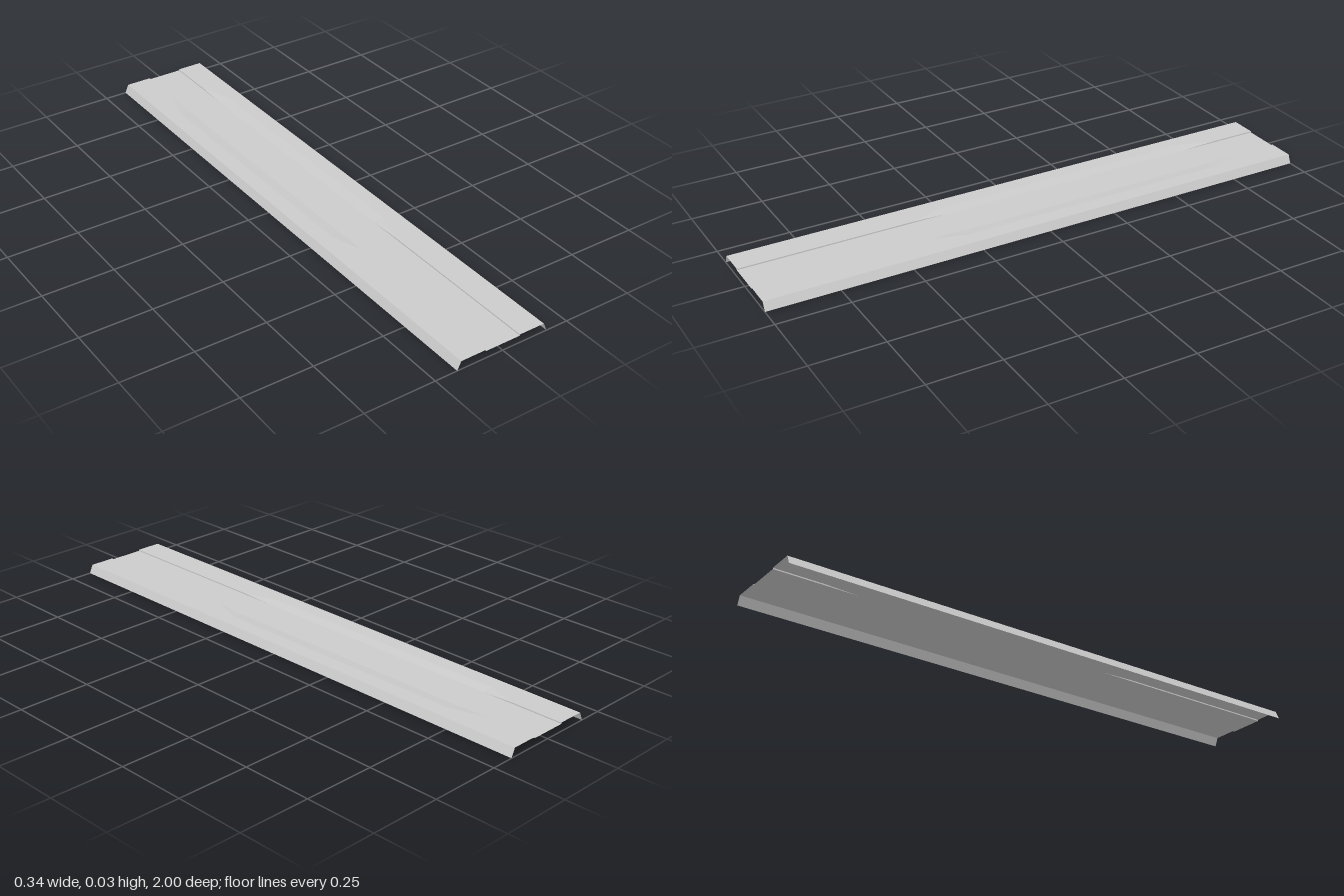
import * as THREE from 'three';

const TOP = 0.03;      // height of the raised side strips
const VALLEY = 0.0256; // height of the sunken centre strip

// Sections along z: [z, height of the inner lip]; the lip sinks flush mid-length
const SECTIONS = [[-1, TOP], [-0.82, TOP], [-0.7, VALLEY], [0.27, VALLEY], [0.39, TOP], [1, TOP]];

// One half of the cross-section from the centre strip out to the flange foot
const half = (lip) => [[0.064, VALLEY], [0.064, lip], [0.103, TOP], [0.157, TOP], [0.17, 0]];

// Sheet between two neighbouring profile points i and i + 1, over all sections
function addStrip(out, rows, i) {
  const tri = (a, b, c) => {
    const t = new THREE.Triangle(a, b, c);
    if (t.getArea() > 1e-9) for (const p of [a, b, c]) out.push(p.x, p.y, p.z);
  };
  for (let s = 0; s < rows.length - 1; s++) {
    const a = rows[s][i], b = rows[s][i + 1], c = rows[s + 1][i + 1], d = rows[s + 1][i];
    // The fold runs from the high lip corner to the far corner of the low end
    const lipIsA = Math.abs(a.x) < Math.abs(b.x);
    const sinks = SECTIONS[s + 1][1] < SECTIONS[s][1];
    if (lipIsA === sinks) { tri(a, d, c); tri(a, c, b); }
    else { tri(a, d, b); tri(b, d, c); }
  }
}

export function createModel() {
  const group = new THREE.Group();
  group.name = 'sheetPanel';
  const material = new THREE.MeshStandardMaterial({
    color: 0xcccccc, flatShading: true, side: THREE.DoubleSide,
  });

  // Full mirrored profile, left edge to right edge, at each section
  const rows = SECTIONS.map(([z, lip]) => {
    const right = half(lip);
    const left = right.map(([x, y]) => [-x, y]).reverse();
    return [...left, ...right].map(([x, y]) => new THREE.Vector3(x, y, z));
  });

  // Named parts by the profile strips they cover
  const parts = {
    rightFlange: [0], rightStrip: [1, 2], rightStep: [3], centreStrip: [4],
    leftStep: [5], leftStrip: [6, 7], leftFlange: [8],
  };
  for (const [name, strips] of Object.entries(parts)) {
    const positions = [];
    strips.forEach((i) => addStrip(positions, rows, i));
    const geometry = new THREE.BufferGeometry();
    geometry.setAttribute('position', new THREE.Float32BufferAttribute(positions, 3));
    geometry.computeVertexNormals();
    const mesh = new THREE.Mesh(geometry, material);
    mesh.name = name;
    group.add(mesh);
  }
  return group;
}
